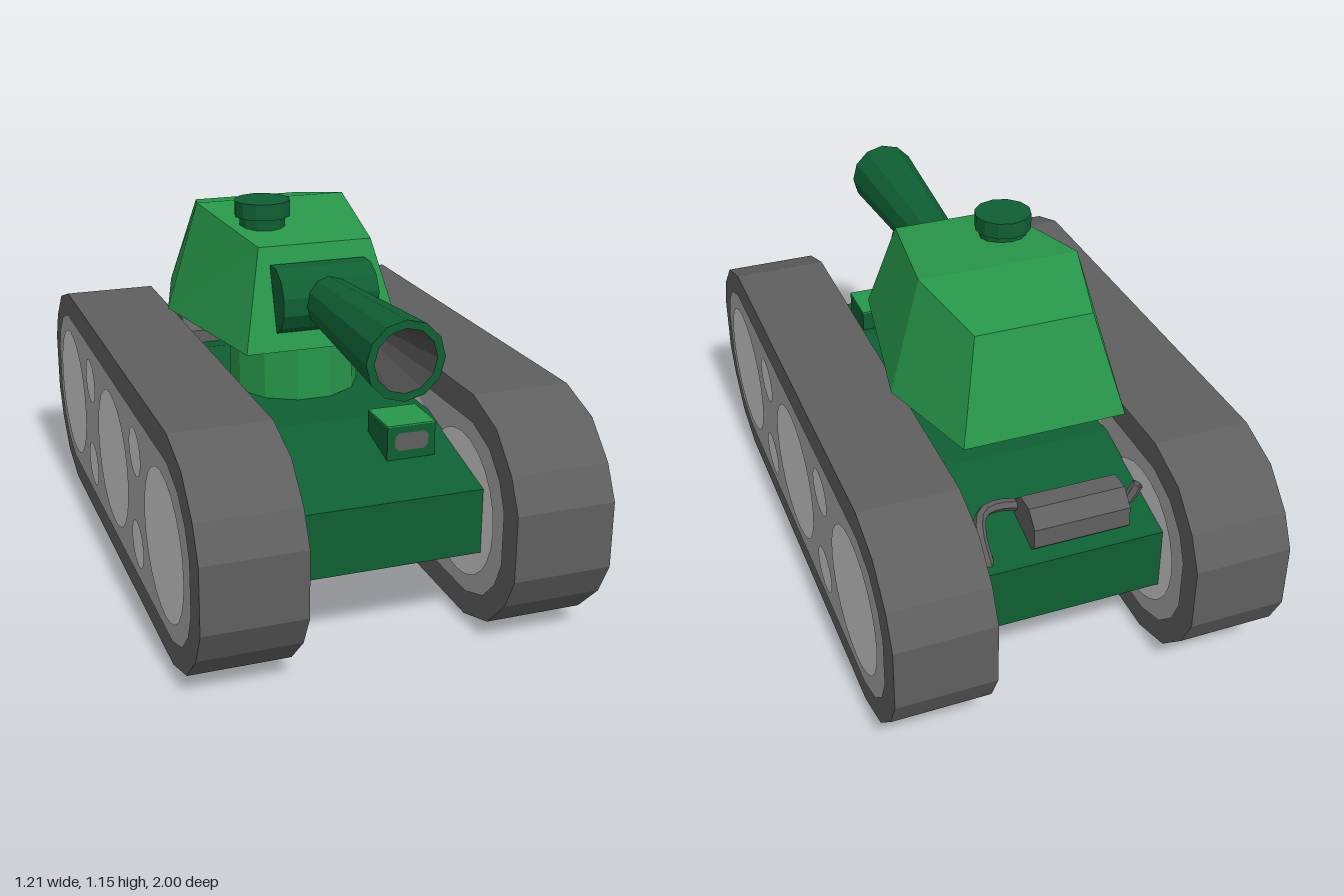
import * as THREE from 'three';

const flat = (name, color, side = THREE.FrontSide) =>
  new THREE.MeshStandardMaterial({ name, color, side, flatShading: true });

export function createModel() {
  const darkGreen = flat('dark green', 0x0f5f33);
  const lightGreen = flat('light green', 0x27974a);
  const steel = flat('steel grey', 0x5f5f5f, THREE.DoubleSide);
  const boreGrey = flat('bore grey', 0x4a4a4a);
  const panelGrey = flat('panel grey', 0xa6a6a6);
  const wheelGrey = flat('wheel grey', 0xd0d0d0);

  const model = new THREE.Group();
  const add = (name, geometry, material, x = 0, y = 0, z = 0, parent = model) => {
    const mesh = new THREE.Mesh(geometry, material);
    mesh.name = name;
    mesh.position.set(x, y, z);
    parent.add(mesh);
    return mesh;
  };

  // Side outline that is mirrored front to back; points run from top to bottom
  const outline = (half) => new THREE.Shape([
    ...half.map(([z, y]) => new THREE.Vector2(z, y)),
    ...half.slice().reverse().map(([z, y]) => new THREE.Vector2(-z, y)),
  ]);
  const slab = (shape, width) => new THREE.ExtrudeGeometry(shape, { depth: width, bevelEnabled: false })
    .translate(0, 0, -width / 2).rotateY(Math.PI / 2);

  // Hull with sloped ends
  add('hull', slab(outline([[0.4, 0.55], [0.8, 0.45], [0.8, 0.25], [0.4, 0.15]]), 0.6), darkGreen);

  // Tracks, each with painted wheels on both faces
  const trackShape = outline([[0.7, 0.7], [0.85, 0.65], [0.95, 0.55], [1, 0.45],
    [1, 0.25], [0.95, 0.15], [0.85, 0.05], [0.7, 0]]);
  const panelShape = outline([[0.71, 0.62], [0.82, 0.58], [0.89, 0.51], [0.925, 0.43],
    [0.925, 0.27], [0.89, 0.19], [0.82, 0.12], [0.71, 0.08]]);
  const wheels = [];
  for (const z of [-0.65, 0, 0.65]) wheels.push([z, 0.35, 0.222]);
  for (const z of [-0.325, 0.325]) for (const y of [0.2, 0.5]) wheels.push([z, y, 0.075]);

  for (const side of [1, -1]) {
    const track = new THREE.Group();
    track.name = side > 0 ? 'leftTrack' : 'rightTrack';
    track.position.x = side * 0.45;
    model.add(track);
    add('trackBelt', slab(trackShape, 0.3), steel, 0, 0, 0, track);
    for (const face of [1, -1]) {
      const turn = face * Math.PI / 2;
      add('wheelPanel', new THREE.ShapeGeometry(panelShape).rotateY(turn), panelGrey, face * 0.153, 0, 0, track);
      for (const [z, y, r] of wheels)
        add('wheel', new THREE.CircleGeometry(r, 24).rotateY(turn), wheelGrey, face * 0.156, y, z, track);
    }
  }

  // Turret ring and turret: two six-sided loops joined together
  add('turretRing', new THREE.CylinderGeometry(0.205, 0.205, 0.22, 12, 1, false, Math.PI / 12),
    lightGreen, 0, 0.64, 0);
  const loop = (half) => [...half, ...half.slice().reverse().map(([x, y, z]) => [-x, y, z])];
  const base = loop([[0.25, 0.75, 0.3], [0.35, 0.75, -0.25], [0.25, 0.75, -0.6]]);
  const roof = loop([[0.18, 1.05, 0.2], [0.25, 1.1, -0.23], [0.18, 1.05, -0.5]]);
  const corners = [];
  const quad = (a, b, c, d) => corners.push(...a, ...b, ...c, ...a, ...c, ...d);
  for (let i = 0; i < 6; i++) {
    const j = (i + 1) % 6;
    quad(base[i], base[j], roof[j], roof[i]);
  }
  quad(roof[0], roof[1], roof[4], roof[5]);
  quad(roof[1], roof[2], roof[3], roof[4]);
  quad(base[5], base[4], base[1], base[0]);
  quad(base[4], base[3], base[2], base[1]);
  const turret = new THREE.BufferGeometry();
  turret.setAttribute('position', new THREE.Float32BufferAttribute(corners, 3));
  turret.computeVertexNormals();
  add('turret', turret, lightGreen);

  // Hatch on the roof
  add('hatchStem', new THREE.CylinderGeometry(0.073, 0.073, 0.08, 12), darkGreen, -0.103, 1.08, 0);
  add('hatchLid', new THREE.CylinderGeometry(0.088, 0.088, 0.05, 12), darkGreen, -0.103, 1.125, 0);

  // Gun mantlet, flared barrel and hollow bore
  add('mantlet', new THREE.CylinderGeometry(0.103, 0.103, 0.3, 12, 1, false, Math.PI / 12)
    .rotateZ(Math.PI / 2), darkGreen, 0, 0.9, 0.25);
  const lathe = (points) => new THREE.LatheGeometry(
    points.map(([r, z]) => new THREE.Vector2(r, z)), 12).rotateX(Math.PI / 2);
  add('barrel', lathe([[0.073, 0.26], [0.113, 0.9], [0.09, 0.9]]), darkGreen, 0, 0.9, 0);
  add('bore', lathe([[0.09, 0.9], [0, 0.35]]), boreGrey, 0, 0.9, 0);

  // Driver's viewing box with a light top plate and a rounded window
  add('visorBox', new THREE.BoxGeometry(0.15, 0.14, 0.15), darkGreen, 0.147, 0.527, 0.545);
  add('visorTop', new THREE.BoxGeometry(0.15, 0.005, 0.15), lightGreen, 0.147, 0.5985, 0.545);
  const pane = new THREE.Shape([[-0.052, -0.015], [-0.04, -0.027], [0.04, -0.027], [0.052, -0.015],
    [0.052, 0.015], [0.04, 0.027], [-0.04, 0.027], [-0.052, 0.015]].map(([x, y]) => new THREE.Vector2(x, y)));
  add('visorWindow', new THREE.ShapeGeometry(pane), steel, 0.147, 0.55, 0.623);

  // Exhaust muffler with a curved pipe and a short outlet
  add('muffler', new THREE.CylinderGeometry(0.083, 0.083, 0.3, 8, 1, false, Math.PI / 8)
    .rotateZ(Math.PI / 2), steel, -0.05, 0.51, -0.69);
  const pipe = (name, points, radius) => add(name, new THREE.TubeGeometry(
    new THREE.CatmullRomCurve3(points.map((p) => new THREE.Vector3(...p))), 10, radius, 6), steel);
  pipe('exhaustPipe', [[0.08, 0.53, -0.625], [0.16, 0.545, -0.625], [0.215, 0.55, -0.65],
    [0.24, 0.53, -0.7], [0.235, 0.44, -0.765]], 0.018);
  pipe('exhaustOutlet', [[-0.19, 0.51, -0.7], [-0.22, 0.525, -0.705], [-0.248, 0.575, -0.71]], 0.018);

  return model;
}
